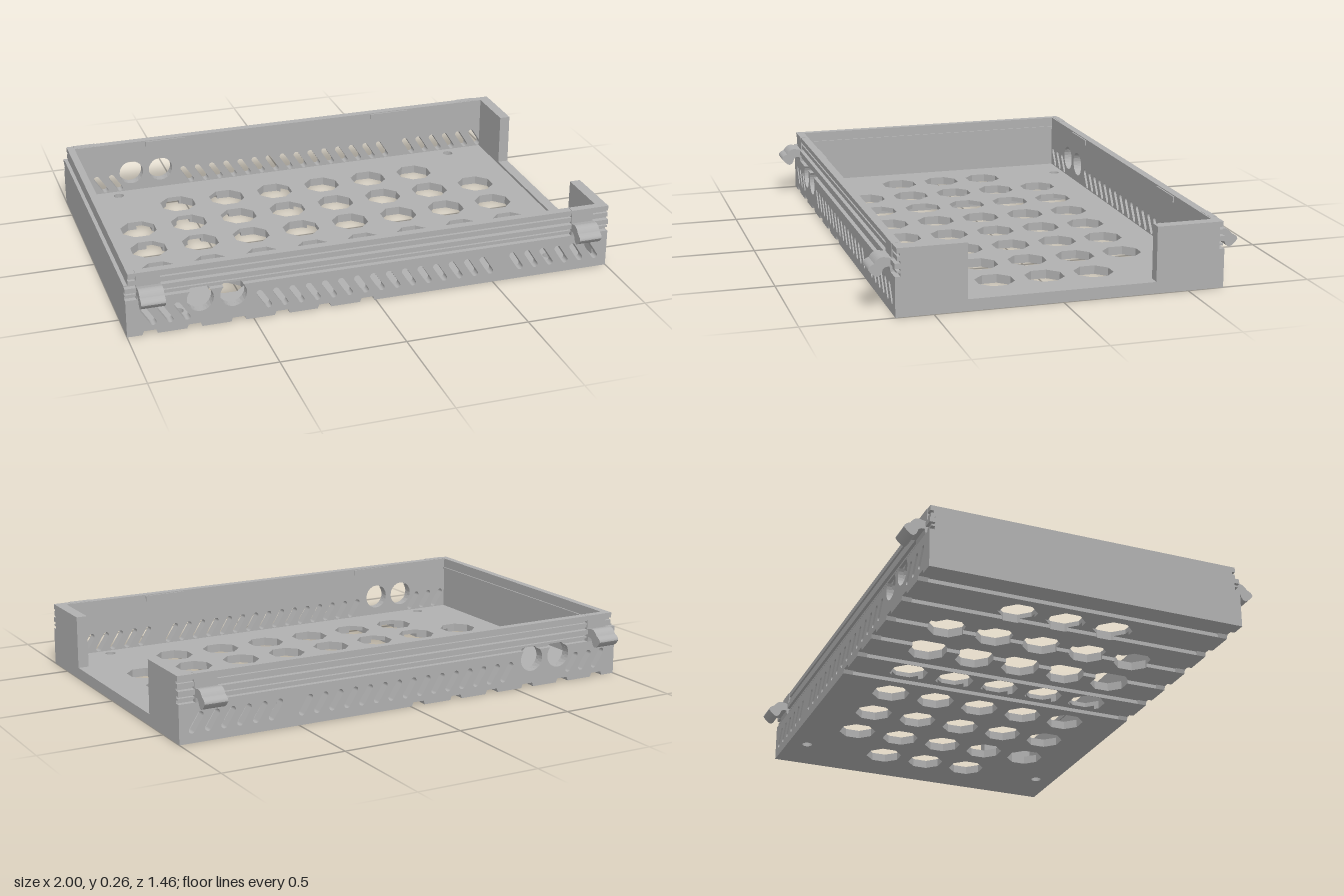
import * as THREE from 'three';

const grey = new THREE.MeshStandardMaterial({ color: 0xb0b0b0 });
grey.name = 'grey plastic';

const OUT = 0.645, IN = 0.605, FLOOR = 0.035, TOP = 0.263, GROOVE = 0.016;
const PORT_R = 0.053, PORT_Y = 0.12, PORTS = [-0.71, -0.578];
// x ranges of the channels running across the underside
const channels = [-0.91, -0.735, -0.56, -0.385, -0.2125, -0.035].map((c, i) => {
  const h = i === 4 ? 0.0275 : 0.03;
  return [c - h, c + h];
});

// vent holes: octagons in rows and columns
const A = 0.0725, T = A * Math.tan(Math.PI / 8);
const vents = [];
for (let i = -3.5; i <= 3.5; i++)
  for (let j = -2; j <= 2; j++)
    if (Math.abs(i) < 3 || Math.abs(j) < 2) vents.push([i * 0.22, j * 0.2]);
// octagon corners from bottom, round the -x side (or +x when s = -1), to the top
const octagon = (x, z, s = 1) =>
  [[A, -T], [T, -A], [-T, -A], [-A, -T], [-A, T], [-T, A], [T, A], [A, T]]
    .map(([u, v]) => new THREE.Vector2(x + s * u, z + v));

export function createModel() {
  const model = new THREE.Group();
  const add = (geo, name, parent = model) => {
    const m = new THREE.Mesh(geo, grey);
    m.name = name;
    parent.add(m);
    return m;
  };
  const box = (x0, x1, y0, y1, z0, z1, name) =>
    add(new THREE.BoxGeometry(x1 - x0, y1 - y0, z1 - z0), name)
      .position.set((x0 + x1) / 2, (y0 + y1) / 2, (z0 + z1) / 2);
  const extrude = (shape, depth) =>
    new THREE.ExtrudeGeometry(shape, { depth, bevelEnabled: false, curveSegments: 10 });
  const circle = (x, y, r) => new THREE.Path().absarc(x, y, r, 0, Math.PI * 2, true);
  const plate = (shape, y0, y1, name) =>
    add(extrude(shape, y1 - y0).rotateX(Math.PI / 2).translate(0, y1, 0), name);

  // Floor, with vents and screw holes
  const screws = [-0.78, 0.78].flatMap(x => [-0.56, 0.56].map(z => [x, z]));
  const floor = new THREE.Shape([[-1, -IN], [1, -IN], [1, IN], [-1, IN]].map(p => new THREE.Vector2(...p)));
  for (const [x, z] of vents) floor.holes.push(new THREE.Path(octagon(x, z)));
  for (const [x, z] of screws) floor.holes.push(circle(x, z, 0.022));
  plate(floor, GROOVE, FLOOR, 'floor');

  // Underside strips between the channels, notched where a vent crosses an edge
  const edge = (c, s, side) => {
    const pts = [];
    for (const [x, z] of side.sort((p, q) => p[1] - q[1])) {
      const dx = Math.abs(c - x), h = dx <= T ? A : A - (dx - T);
      pts.push(new THREE.Vector2(c, z - h),
        ...octagon(x, z, s).filter(p => s * (c - p.x) > 1e-4),
        new THREE.Vector2(c, z + h));
    }
    return [new THREE.Vector2(c, -IN), ...pts, new THREE.Vector2(c, IN)];
  };
  const bounds = [-1, ...channels.flat(), 1];
  for (let i = 0; i < bounds.length; i += 2) {
    const a = bounds[i], b = bounds[i + 1];
    const crossing = c => vents.filter(v => Math.abs(v[0] - c) < A);
    const strip = new THREE.Shape([...edge(b, 1, crossing(b)), ...edge(a, -1, crossing(a)).reverse()]);
    for (const [x, z] of vents)
      if (x - A > a && x + A < b) strip.holes.push(new THREE.Path(octagon(x, z)));
    for (const [x, z] of screws)
      if (x - 0.022 > a && x + 0.022 < b) strip.holes.push(circle(x, z, 0.022));
    plate(strip, 0, GROOVE, 'undersideStrip');
  }

  // Long walls: slanted slots, round ports and channel notches
  const slotXs = [];
  for (const [x, n] of [[-0.914, 3], [-0.457, 15], [0.599, 6]])
    for (let i = 0; i < n; i++) slotXs.push(x + i * 0.0662);
  const slot = x => {
    const dx = 0.018, dy = 0.028, r = 0.0125, t = Math.atan2(dx, dy);
    return new THREE.Path()
      .absarc(x - dx, 0.078 + dy, r, t, t + Math.PI, false)
      .absarc(x + dx, 0.078 - dy, r, t + Math.PI, t + 2 * Math.PI, false);
  };
  const wallShape = full => {
    const s = new THREE.Shape();
    s.moveTo(-1, 0);
    for (const [a, b] of channels) {
      s.lineTo(a, 0); s.lineTo(a + 0.006, GROOVE); s.lineTo(b - 0.006, GROOVE); s.lineTo(b, 0);
    }
    s.lineTo(1, 0);
    if (full) {
      s.lineTo(1, TOP); s.lineTo(-0.985, TOP); s.lineTo(-0.985, 0.21); s.lineTo(-1, 0.21);
      for (const x of PORTS) s.holes.push(circle(x, PORT_Y, PORT_R));
    } else {
      const h = 0.155, t = Math.asin((h - PORT_Y) / PORT_R);
      s.lineTo(1, h);
      for (const x of [...PORTS].reverse()) {
        s.lineTo(x + PORT_R * Math.cos(t), h);
        s.absarc(x, PORT_Y, PORT_R, t, Math.PI - t, true);
      }
      s.lineTo(-1, h);
    }
    for (const x of slotXs) s.holes.push(slot(x));
    return s;
  };

  // Spring clip, drawn as a side section
  const clip = new THREE.Shape();
  clip.moveTo(0.612, 0.264);
  clip.lineTo(0.612, 0.155);
  clip.lineTo(0.645, 0.155);
  clip.lineTo(0.648, 0.175);
  clip.quadraticCurveTo(0.668, 0.178, 0.674, 0.165);
  clip.quadraticCurveTo(0.68, 0.142, 0.695, 0.14);
  clip.quadraticCurveTo(0.712, 0.145, 0.728, 0.168);
  clip.quadraticCurveTo(0.728, 0.182, 0.705, 0.19);
  clip.quadraticCurveTo(0.69, 0.215, 0.668, 0.213);
  clip.lineTo(0.64, 0.207);
  clip.lineTo(0.64, 0.264);

  for (const s of [1, -1]) {
    const end = s > 0 ? 'front' : 'back';
    const mid = 0.624;
    add(extrude(wallShape(true), mid - IN), end + 'Wall').position.z = s > 0 ? IN : -mid;
    add(extrude(wallShape(false), OUT - mid), end + 'WallLowerFace').position.z = s > 0 ? mid : -OUT;
    // Rails along the upper wall
    for (const [y0, y1, z, x0] of [[0.168, 0.176, 0.638, -1], [0.185, 0.205, OUT, -1],
      [0.214, 0.232, 0.636, -0.985], [0.242, TOP, 0.638, -0.985]])
      box(x0, 1, y0, y1, s > 0 ? mid : -z, s > 0 ? z : -mid, end + 'Rail');
    // Clips near both ends
    for (const x of [-0.908, 0.885]) {
      const m = add(extrude(clip, 0.095).rotateY(-Math.PI / 2).translate(0.0475, 0, 0), end + 'Clip');
      m.position.x = x;
      m.rotation.y = s > 0 ? 0 : Math.PI;
    }
    // Shallow catches inside the rim
    for (const x of [-0.55, 0.5])
      box(x - 0.09, x + 0.09, 0.235, TOP - 0.004, s > 0 ? IN - 0.006 : -IN, s > 0 ? IN : -IN + 0.006, end + 'Catch');
    // Short wall beside the open end
    box(0.955, 1, FLOOR, TOP, s > 0 ? 0.37 : -IN, s > 0 ? IN : -0.37, end + 'EndStub');
  }

  // Closed end with a stepped rim, and the sill of the open end
  box(-1, -0.955, FLOOR, 0.21, -IN, IN, 'closedEndWall');
  box(-0.985, -0.955, 0.21, TOP, -IN, IN, 'closedEndRim');
  box(-0.955, -0.949, 0.214, 0.222, -IN, IN, 'closedEndLedge');
  box(0.955, 1, FLOOR, 0.046, -0.37, 0.37, 'openEndSill');
  return model;
}
